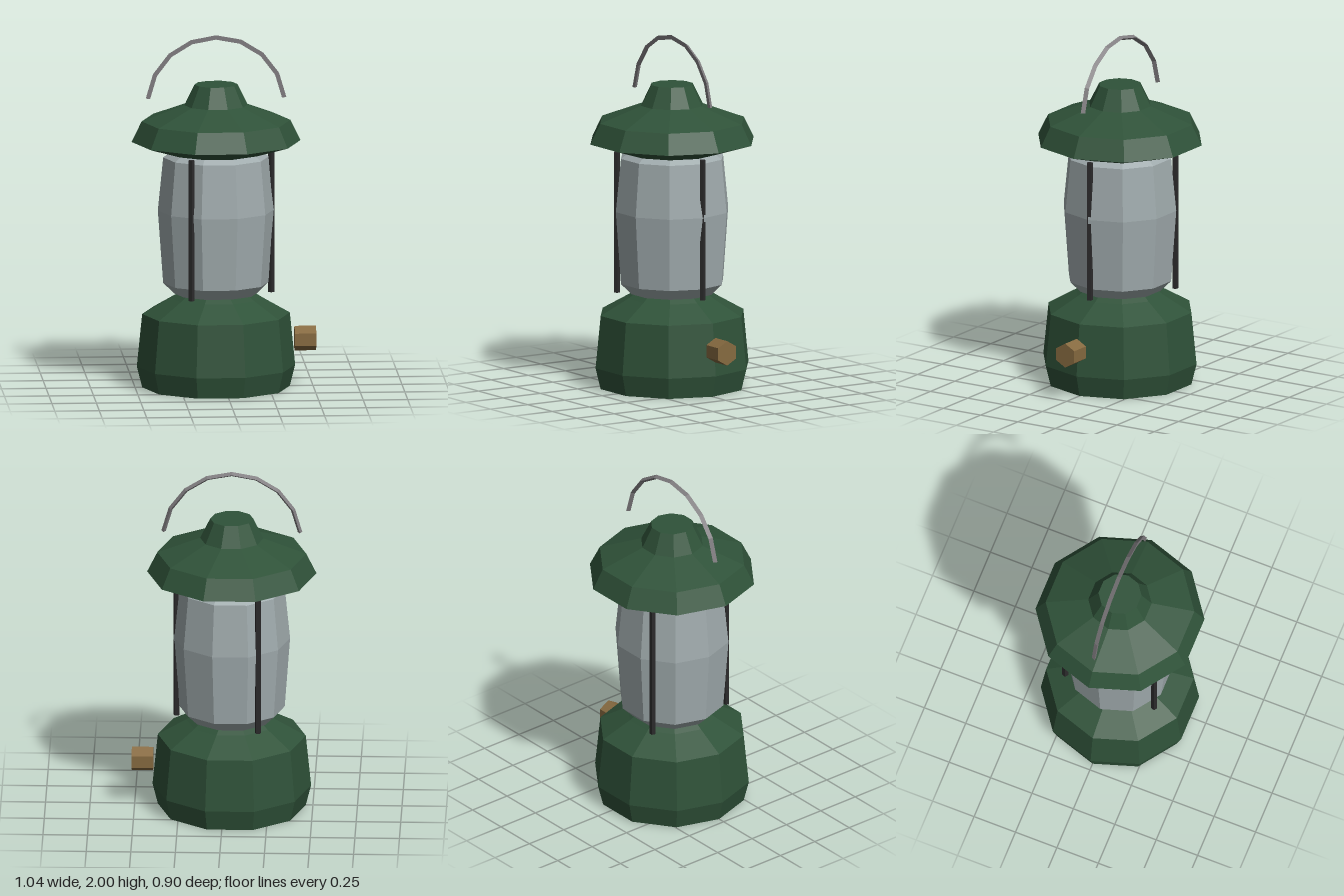
import * as THREE from 'three';

const paint = (name, color) => Object.assign(new THREE.MeshStandardMaterial({ color }), { name });

// Semicircular carrying bail, swept 84 degrees to each side of the top
class BailCurve extends THREE.Curve {
  getPoint(t, target = new THREE.Vector3()) {
    const a = (2 * t - 1) * THREE.MathUtils.degToRad(84);
    return target.set(0.385 * Math.sin(a), 0.385 * Math.cos(a), 0);
  }
}

export function createModel() {
  const green = paint('enamel green', 0x2f5239);
  const glass = paint('smoky glass', 0xa0abad);
  const black = paint('black wire', 0x2b2a2b);
  const steel = paint('grey steel', 0x807d80);
  steel.side = THREE.DoubleSide;
  const brass = paint('brass', 0x866a40);

  const lantern = new THREE.Group();
  lantern.name = 'lantern';

  // Adds a faceted part
  const add = (name, geometry, material) => {
    const flat = geometry.index ? geometry.toNonIndexed() : geometry;
    flat.computeVertexNormals();
    const mesh = new THREE.Mesh(flat, material);
    mesh.name = name;
    lantern.add(mesh);
    return mesh;
  };

  // Ten-sided turned part with corners on the x axis; profile is [radius, height] upward
  const turned = (name, profile, material) => {
    const points = profile.map(([r, y]) => new THREE.Vector2(r, y));
    return add(name, new THREE.LatheGeometry(points, 10).rotateY(Math.PI / 2), material);
  };

  turned('base', [[0, 0], [0.415, 0], [0.445, 0.12], [0.415, 0.417],
    [0.255, 0.508], [0.215, 0.535], [0, 0.535]], green);

  turned('globe', [[0, 0.532], [0.235, 0.532], [0.297, 0.593], [0.327, 1.005],
    [0.297, 1.307], [0.26, 1.335], [0, 1.335]], glass);

  turned('cap', [[0, 1.333], [0.265, 1.333], [0.475, 1.397], [0.418, 1.513],
    [0.178, 1.603], [0.121, 1.72], [0, 1.72]], green);

  // Three guard wires around the globe
  for (let i = 0; i < 3; i++) {
    const a = (i * 2 * Math.PI) / 3;
    add('guardWire', new THREE.CylinderGeometry(0.018, 0.018, 0.8, 5), black)
      .position.set(0.31 * Math.cos(a), 0.935, 0.31 * Math.sin(a));
  }

  // Triangular-section bail handle, flat side forward
  const bail = new THREE.TubeGeometry(new BailCurve(), 8, 0.0145, 3).rotateY(Math.PI);
  add('handle', bail, steel).position.set(0, 1.602, -0.003);

  // Hexagonal control knob on the side of the base
  const knob = new THREE.CylinderGeometry(0.07, 0.07, 0.12, 6, 1, false, Math.PI / 2);
  add('knob', knob.rotateZ(Math.PI / 2), brass).position.set(0.501, 0.27, 0);

  // The knob makes the body sit slightly off centre
  lantern.position.x = -0.045;
  const model = new THREE.Group();
  model.name = 'campLantern';
  model.add(lantern);
  return model;
}
